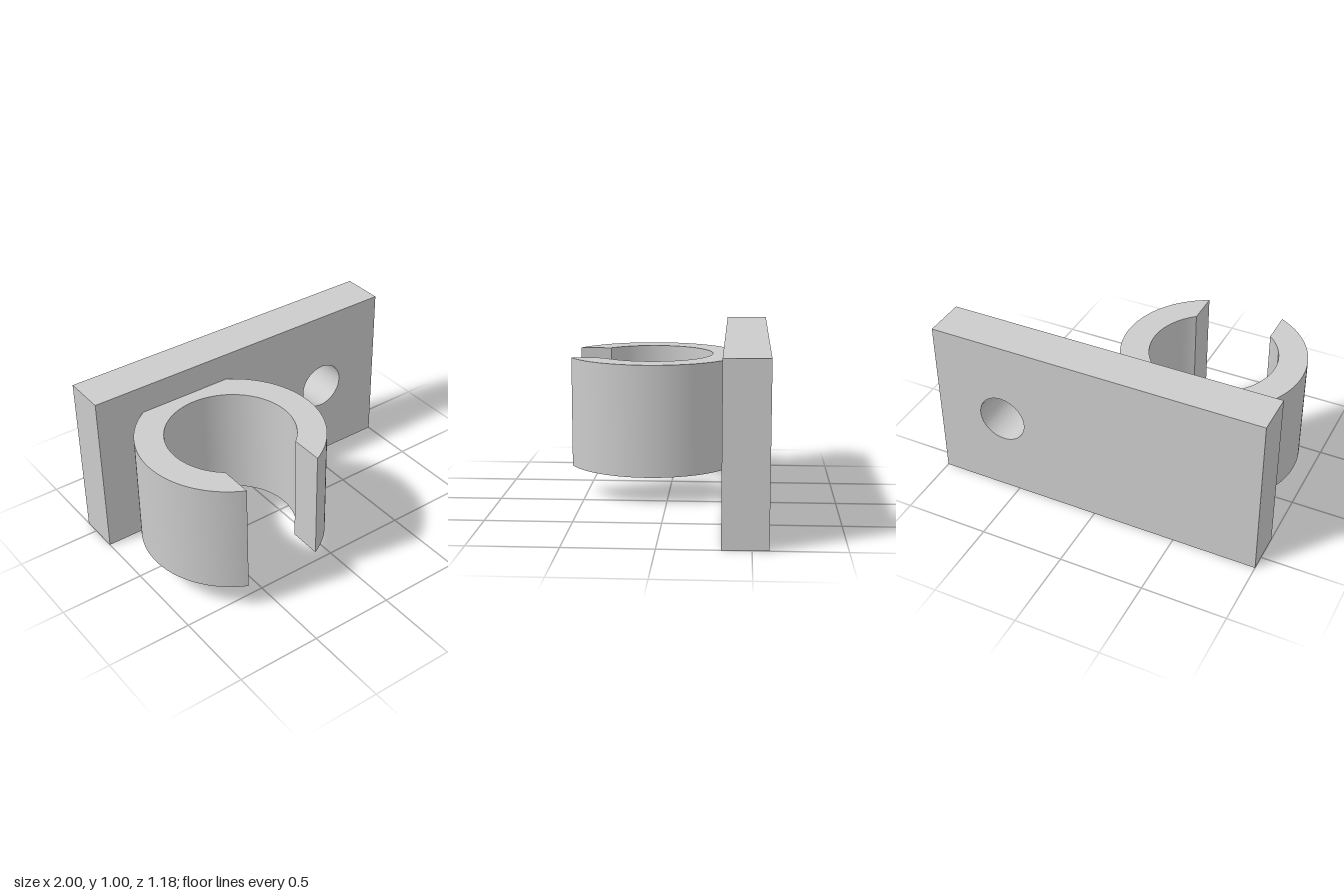
import * as THREE from 'three';
import { toCreasedNormals } from 'three/addons/utils/BufferGeometryUtils.js';

const material = new THREE.MeshStandardMaterial({ color: 0xcccccc });

function extrude(name, shape, depth) {
  const raw = new THREE.ExtrudeGeometry(shape, { depth, bevelEnabled: false, curveSegments: 48 });
  const mesh = new THREE.Mesh(toCreasedNormals(raw, 0.3), material);
  mesh.name = name;
  return mesh;
}

export function createModel() {
  const group = new THREE.Group();
  group.name = 'clipBracket';
  const plateBack = -0.59, plateFront = -0.34;

  // Mounting plate with a round screw hole
  const plateShape = new THREE.Shape();
  plateShape.moveTo(-1, 0).lineTo(1, 0).lineTo(1, 1).lineTo(-1, 1).closePath();
  const hole = new THREE.Path();
  hole.absarc(0.583, 0.5, 0.143, 0, Math.PI * 2, true);
  plateShape.holes.push(hole);
  const plate = extrude('mountingPlate', plateShape, plateFront - plateBack);
  plate.position.z = plateBack;
  group.add(plate);

  // Open clip ring: parallel-sided slot at the front, flat where it meets the plate
  const outer = 0.533, inner = 0.368, slotHalf = 0.233, centreZ = 0.11;
  const outerSlot = Math.acos(slotHalf / outer);
  const innerSlot = Math.acos(slotHalf / inner);
  const flat = Math.asin((centreZ - plateFront) / outer);
  const ring = new THREE.Shape();
  ring.absarc(0, 0, outer, outerSlot, -flat, true);
  ring.absarc(0, 0, outer, flat - Math.PI, -Math.PI - outerSlot, true);
  ring.absarc(0, 0, inner, Math.PI - innerSlot, Math.PI * 2 + innerSlot, false);
  ring.closePath();
  const clip = extrude('clipRing', ring, 0.666);
  clip.rotation.x = Math.PI / 2;
  clip.position.set(-0.42, 0.833, centreZ);
  group.add(clip);

  return group;
}
